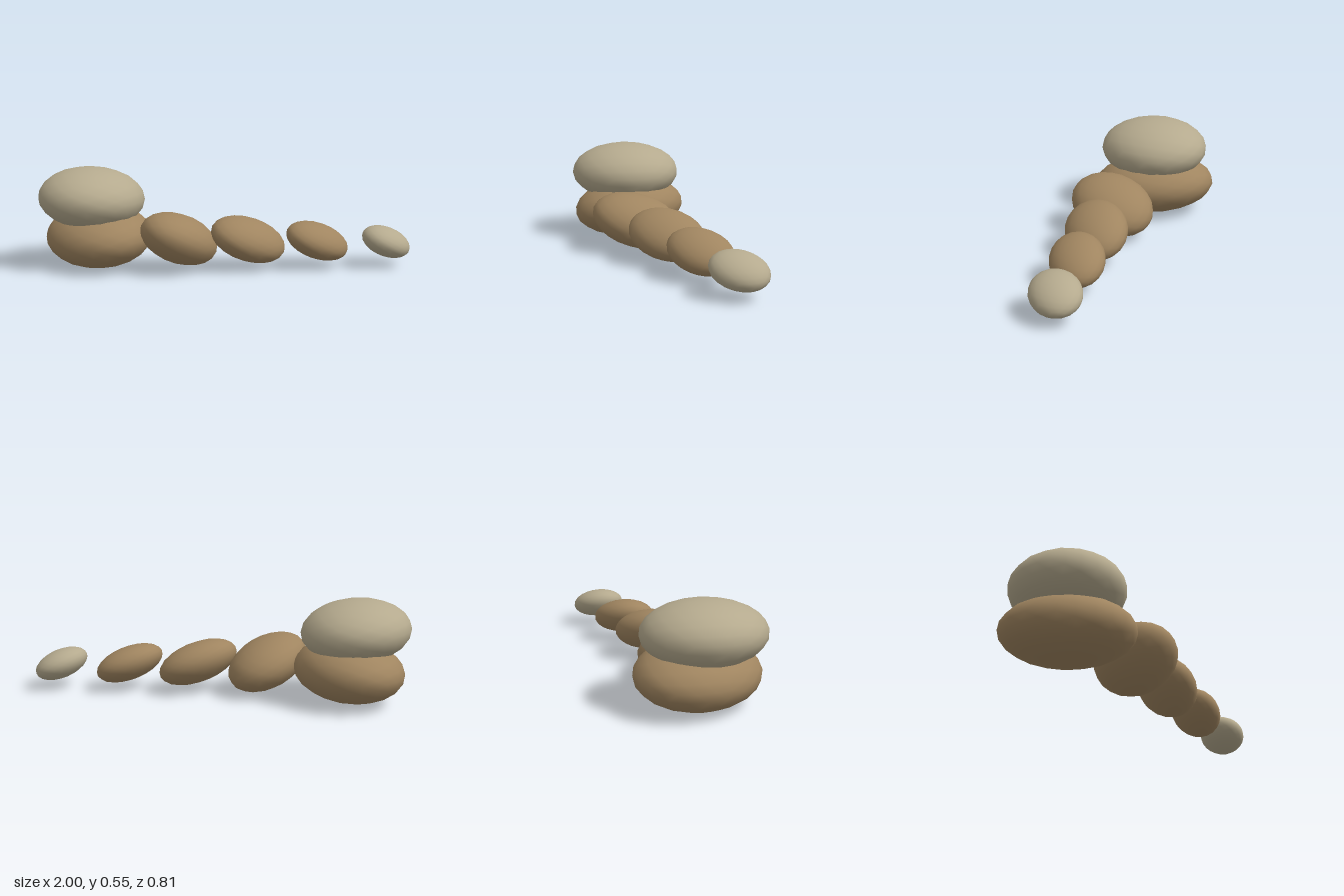
import * as THREE from 'three';

// Tilted ellipsoid: half = half extents, tilt = lean between the xy, xz and yz axes
function stoneGeometry([hx, hy, hz], [xy, xz, yz]) {
  const b = Math.sqrt(1 - xy * xy);
  const c = (yz - xy * xz) / b;
  const d = Math.sqrt(1 - xz * xz - c * c);
  const skew = new THREE.Matrix4().set(
    hx, 0, 0, 0,
    hy * xy, hy * b, 0, 0,
    hz * xz, hz * c, hz * d, 0,
    0, 0, 0, 1
  );
  return new THREE.IcosahedronGeometry(1, 3).applyMatrix4(skew);
}

export function createModel() {
  const brown = new THREE.MeshStandardMaterial({ color: 0xa08560 });
  brown.name = 'brownStone';
  const pale = new THREE.MeshStandardMaterial({ color: 0xb5aa8e });
  pale.name = 'paleStone';

  // name, material, centre, half extents, tilt
  const stones = [
    ['baseStone', brown, [-0.682, 0.171, 0.067], [0.31, 0.171, 0.331], [0.03, 0.2, -0.08]],
    ['capStone', pale, [-0.712, 0.381, 0.088], [0.288, 0.17, 0.317], [-0.08, 0, 0]],
    ['largeStone', brown, [-0.22, 0.171, 0.083], [0.203, 0.152, 0.248], [-0.27, -0.05, 0.28]],
    ['mediumStone', brown, [0.141, 0.162, -0.033], [0.192, 0.129, 0.2], [-0.42, -0.28, 0.1]],
    ['smallStone', brown, [0.504, 0.148, -0.146], [0.164, 0.109, 0.167], [-0.43, -0.27, 0.12]],
    ['endStone', pale, [0.87, 0.137, -0.26], [0.13, 0.091, 0.146], [-0.38, -0.14, 0.14]],
  ];

  const model = new THREE.Group();
  model.name = 'stoneTrail';
  for (const [name, material, centre, half, tilt] of stones) {
    const stone = new THREE.Mesh(stoneGeometry(half, tilt), material);
    stone.name = name;
    stone.position.set(...centre);
    model.add(stone);
  }
  return model;
}
